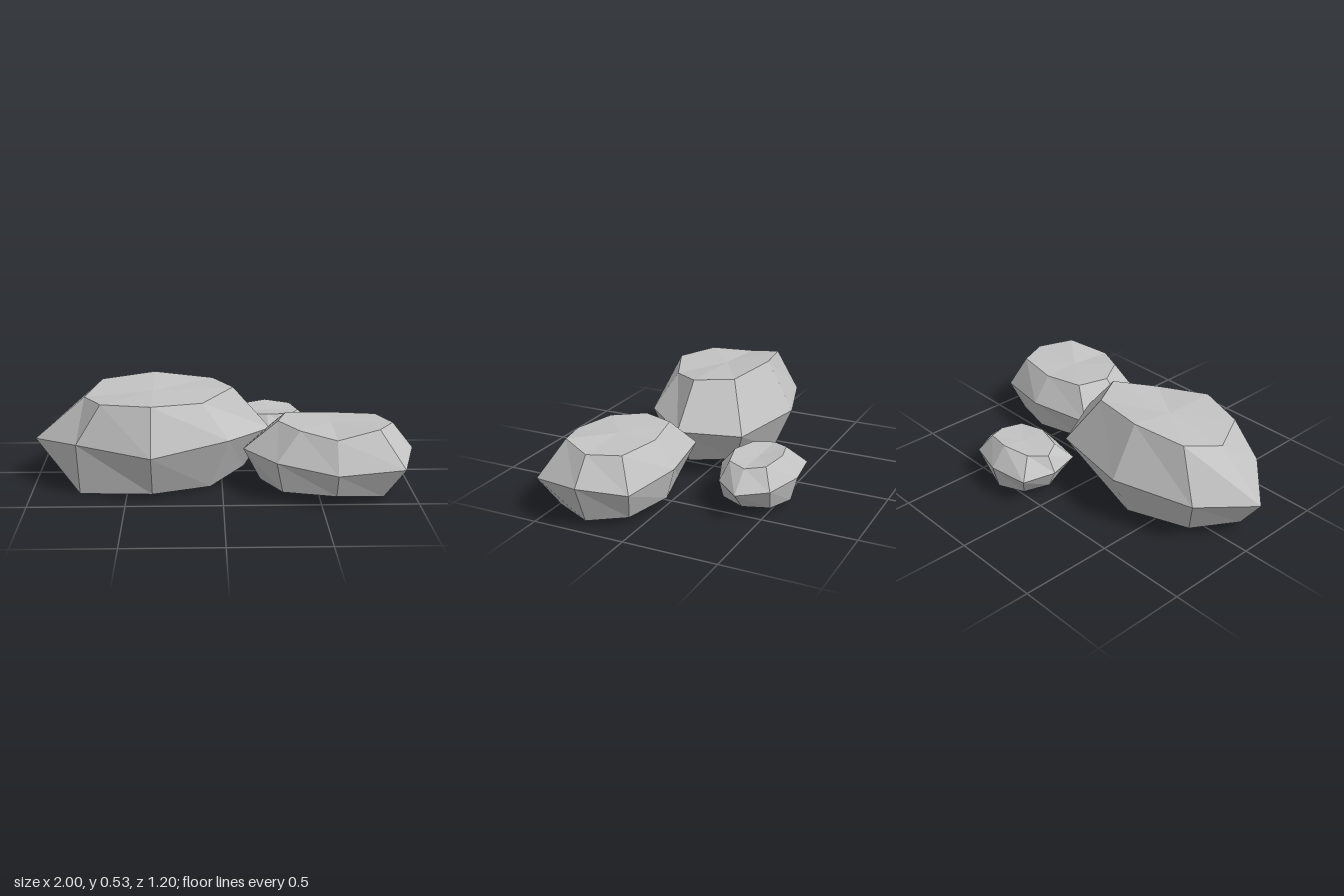
import * as THREE from 'three';

const stone = new THREE.MeshStandardMaterial({ color: 0xc2c2c2, flatShading: true, side: THREE.DoubleSide });
stone.name = 'grey stone';

// Eight-point ring around a centre. Reach and height are given for left, back,
// right and front; corners say how far each diagonal point bulges out
// (back-left, back-right, front-right, front-left), lift raises those points.
const sides = [[-1, 0], [0, -1], [1, 0], [0, 1]];

function makeRing([cx, cz], { reach, height, corners = [0.72, 0.72, 0.72, 0.72], lift = [0, 0, 0, 0] }) {
  return sides.flatMap(([dx, dz], i) => {
    const j = (i + 1) % 4;
    const [ex, ez] = sides[j];
    const bulge = corners[i];
    return [
      [cx + dx * reach[i], height[i], cz + dz * reach[i]],
      [
        cx + bulge * (dx * reach[i] + ex * reach[j]),
        (height[i] + height[j]) / 2 + lift[i],
        cz + bulge * (dz * reach[i] + ez * reach[j]),
      ],
    ];
  });
}

// Faceted boulder shell: a fan on top, rings from top to bottom, open underneath.
function makeRock(name, centre, topY, ringSpecs) {
  const rings = ringSpecs.map((spec) => makeRing(centre, spec));
  const top = [centre[0], topY, centre[1]];
  const points = [];
  for (let i = 0; i < 8; i++) {
    const j = (i + 1) % 8;
    points.push(top, rings[0][j], rings[0][i]);
    for (let r = 0; r < rings.length - 1; r++) {
      const a = rings[r], b = rings[r + 1];
      points.push(a[i], a[j], b[i], a[j], b[j], b[i]);
    }
  }
  const geometry = new THREE.BufferGeometry();
  geometry.setAttribute('position', new THREE.Float32BufferAttribute(points.flat(), 3));
  geometry.computeVertexNormals();
  const mesh = new THREE.Mesh(geometry, stone);
  mesh.name = name;
  return mesh;
}

export function createModel() {
  const group = new THREE.Group();
  group.name = 'rocks';
  group.add(
    makeRock('largeRock', [-0.365, 0.09], 0.49, [
      { reach: [0.365, 0.255, 0.425, 0.295], height: [0.46, 0.53, 0.51, 0.49], corners: [0.775, 0.75, 0.615, 0.72], lift: [0.01, -0.01, -0.025, 0.005] },
      { reach: [0.635, 0.405, 0.625, 0.42], height: [0.23, 0.26, 0.28, 0.255], corners: [0.67, 0.76, 0.635, 0.615], lift: [0, -0.02, 0.03, 0.035] },
      { reach: [0.515, 0.3, 0.485, 0.31], height: [0.07, 0.02, 0.065, 0.025], corners: [0.68, 0.73, 0.62, 0.74], lift: [0, 0.02, -0.025, -0.0475] },
    ]),
    makeRock('mediumRock', [0.57, 0.255], 0.36, [
      { reach: [0.28, 0.205, 0.32, 0.25], height: [0.372, 0.355, 0.36, 0.345], corners: [0.81, 0.79, 0.7, 0.64], lift: [0.005, 0, 0.025, 0.01] },
      { reach: [0.46, 0.31, 0.43, 0.34], height: [0.22, 0.215, 0.222, 0.187], corners: [0.8, 0.76, 0.81, 0.65], lift: [0, -0.03, -0.01, 0.012] },
      { reach: [0.37, 0.265, 0.35, 0.285], height: [0.05, 0.05, 0.02, 0.06], lift: [0, 0, -0.015, 0] },
    ]),
    makeRock('smallRock', [0.27, -0.385], 0.235, [
      { reach: [0.21, 0.13, 0.185, 0.135], height: [0.235, 0.26, 0.235, 0.25], corners: [0.7, 0.77, 0.75, 0.71] },
      { reach: [0.26, 0.215, 0.3, 0.21], height: [0.15, 0.155, 0.135, 0.16], corners: [0.85, 0.7, 0.64, 0.82] },
      { reach: [0.21, 0.18, 0.21, 0.18], height: [0.05, 0.025, 0.04, 0.05] },
    ]),
  );
  return group;
}
